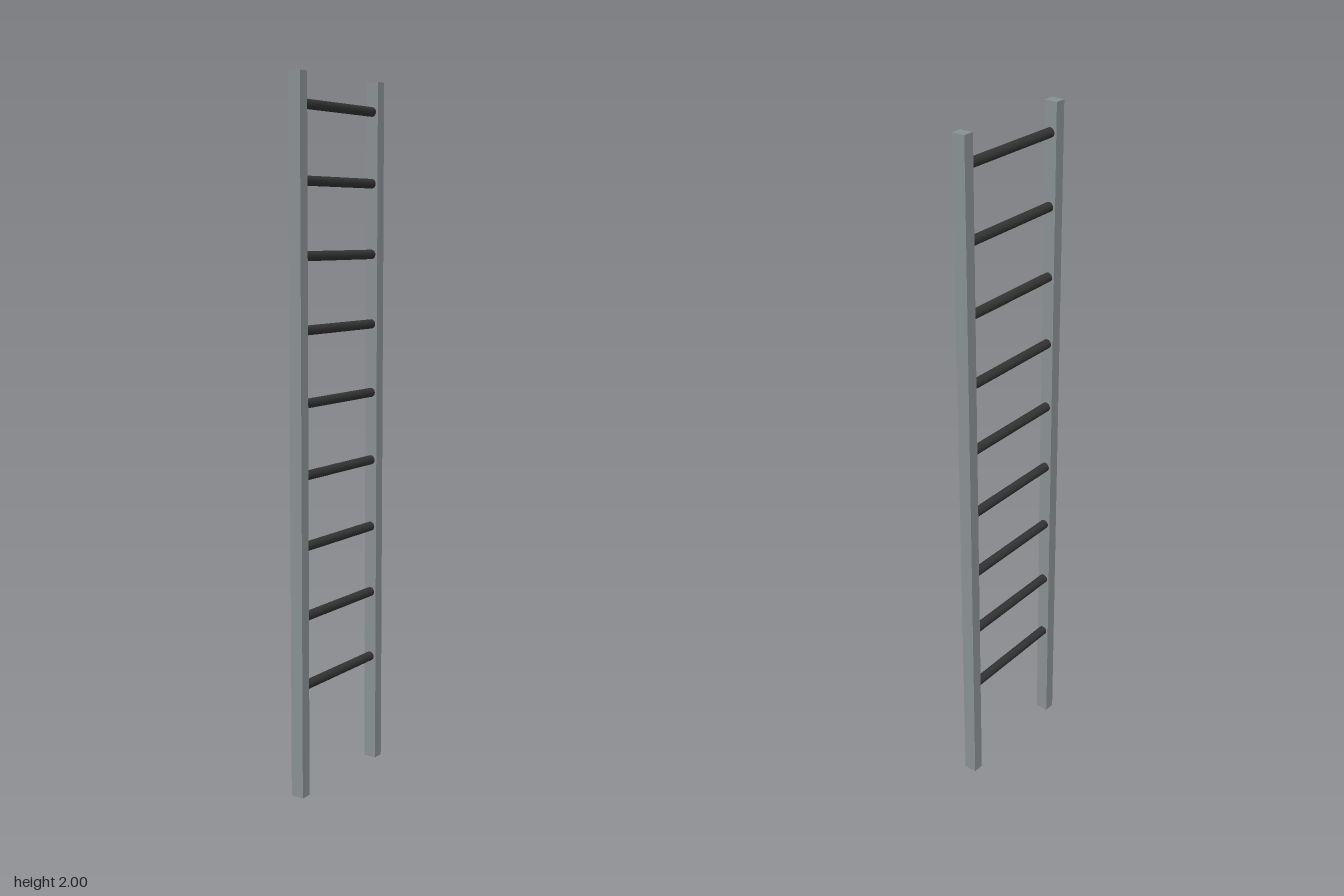
import * as THREE from 'three';

export function createModel() {
  const ladder = new THREE.Group();
  ladder.name = 'ladder';

  const railMaterial = new THREE.MeshStandardMaterial({ color: 0x8a9093 });
  const rungMaterial = new THREE.MeshStandardMaterial({ color: 0x333333 });

  // Two upright rails, mirrored about x = 0
  const railGeometry = new THREE.BoxGeometry(0.032, 2, 0.039);
  for (const side of [-1, 1]) {
    const rail = new THREE.Mesh(railGeometry, railMaterial);
    rail.name = side > 0 ? 'leftRail' : 'rightRail';
    rail.position.set(side * 0.184, 1, 0);
    ladder.add(rail);
  }

  // Nine evenly spaced round rungs, seated a little inside the rails
  const rungGeometry = new THREE.CylinderGeometry(0.0135, 0.0135, 0.35, 16);
  rungGeometry.rotateZ(Math.PI / 2);
  for (let i = 0; i < 9; i++) {
    const rung = new THREE.Mesh(rungGeometry, rungMaterial);
    rung.name = `rung${i + 1}`;
    rung.position.y = 0.318 + i * 0.2;
    ladder.add(rung);
  }

  return ladder;
}
